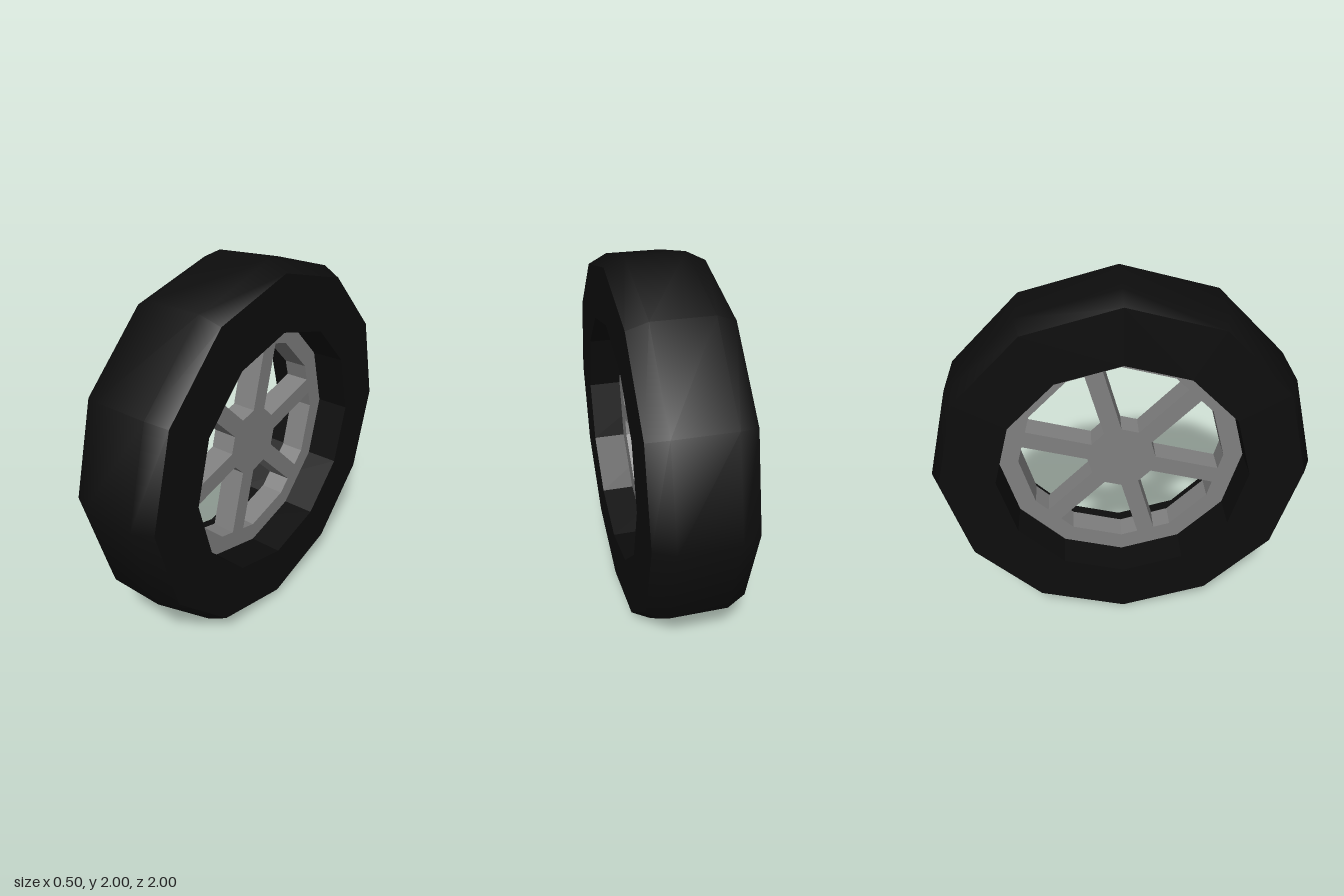
import * as THREE from 'three';

const SIDES = 12;
const STEP = Math.PI / 6;
const BORE = 0.66;       // where tyre and rim meet
const RIM_INNER = 0.555;
const HUB = 0.185;
const RIM_DEPTH = 0.134;

const polar = (r, a) => new THREE.Vector2(r * Math.cos(a), r * Math.sin(a));

// Revolve an (radius, x) profile around the x axis
function revolve(profile) {
  const points = profile.map(([r, x]) => new THREE.Vector2(r, x));
  return new THREE.LatheGeometry(points, SIDES).rotateZ(-Math.PI / 2);
}

// Opening between the spoke at angle a and the next one
function spokeGap(a) {
  const b = a + 2 * STEP;
  const half = HUB * Math.sin(STEP / 2); // spokes are as wide as a hub facet
  const reach = RIM_INNER * Math.cos(STEP / 2);
  const tilt = Math.atan2(half, reach);
  const r = Math.hypot(half, reach);
  return new THREE.Path([
    polar(HUB, a + STEP / 2), polar(r, a + tilt),
    polar(RIM_INNER, a + STEP / 2), polar(RIM_INNER, b - STEP / 2),
    polar(r, b - tilt), polar(HUB, b - STEP / 2),
  ].reverse());
}

export function createModel() {
  const wheel = new THREE.Group();
  wheel.name = 'wheel';
  wheel.position.y = 1;

  const add = (name, geometry, color, flatShading) => {
    const material = new THREE.MeshStandardMaterial({ color, flatShading });
    const mesh = new THREE.Mesh(geometry, material);
    mesh.name = name;
    wheel.add(mesh);
  };

  // Tyre: rounded tread with bevelled shoulders, flat sidewalls and bore
  add('tyreTread', revolve([[0.95, -0.25], [1, -0.15], [1, 0.15], [0.95, 0.25]]), 0x0d0d0d, false);
  add('tyreSidewallsAndBore', revolve([[0.95, 0.25], [BORE, 0.25], [BORE, -0.25], [0.95, -0.25]]), 0x0d0d0d, true);

  // Rim, six spokes and hub cut from one recessed plate
  const outline = Array.from({ length: SIDES }, (_, i) => polar(BORE, i * STEP));
  const plate = new THREE.Shape(outline);
  for (let i = 0; i < 6; i++) plate.holes.push(spokeGap(STEP / 2 + i * 2 * STEP));
  const rim = new THREE.ExtrudeGeometry(plate, { depth: RIM_DEPTH, bevelEnabled: false });
  rim.translate(0, 0, -RIM_DEPTH / 2).rotateY(Math.PI / 2);
  add('rimSpokesAndHub', rim, 0x808080, true);

  const model = new THREE.Group();
  model.name = 'spokedWheel';
  model.add(wheel);
  return model;
}
